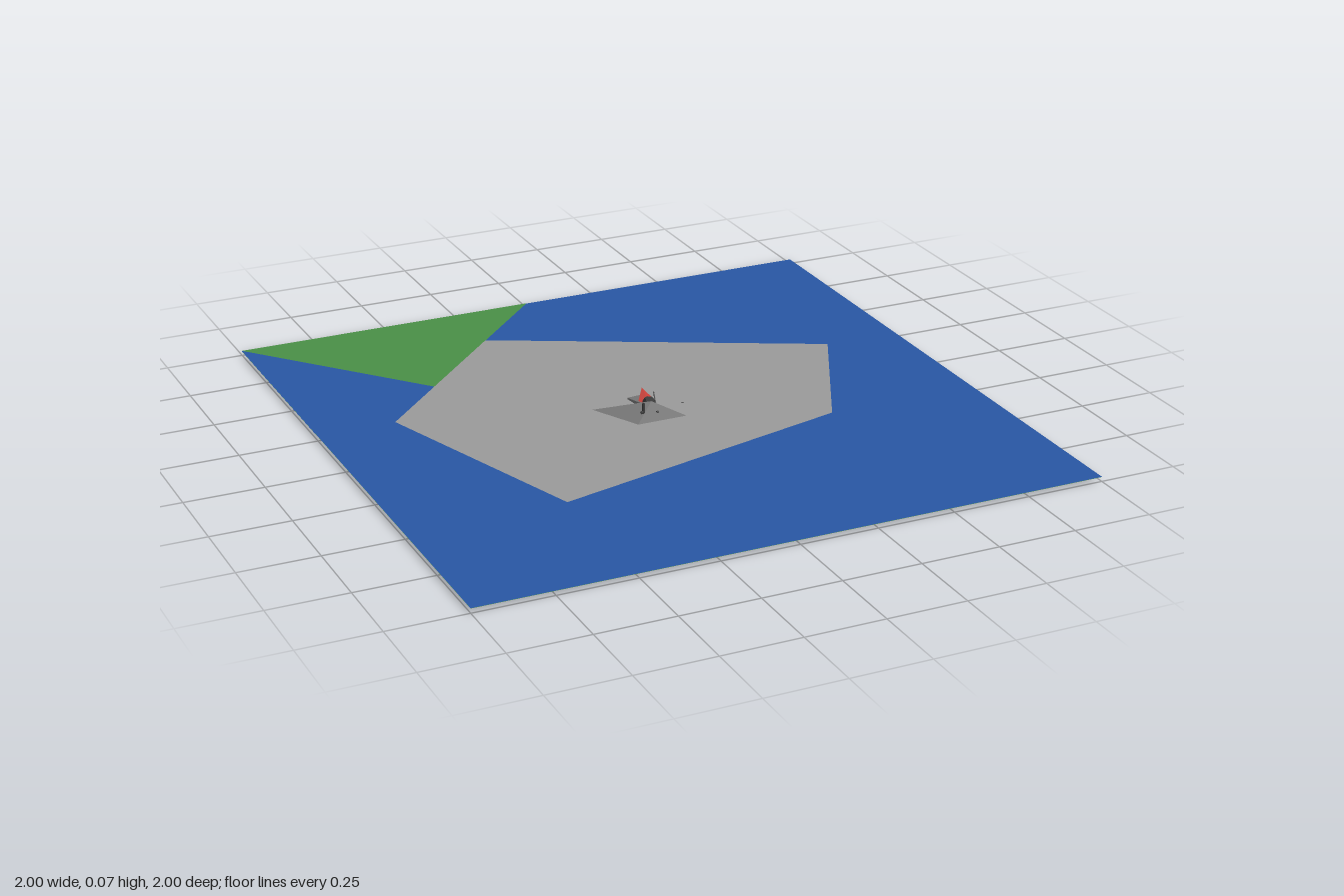
import * as THREE from 'three';

const BLUE = 0x2857a4, GREEN = 0x4a8f47, GREY = 0x9a9a9a, ROCK = 0x777777, DARK = 0x3c3c3c, RED = 0xc23a32;

const paint = (color) => new THREE.MeshStandardMaterial({ color, side: THREE.DoubleSide, flatShading: true });

function add(group, name, geometry, color) {
  const mesh = new THREE.Mesh(geometry, paint(color));
  mesh.name = name;
  group.add(mesh);
  return mesh;
}

// Horizontal sheet from [x, z] corners at height y
function sheet(group, name, corners, y, color) {
  const shape = new THREE.Shape(corners.map(([x, z]) => new THREE.Vector2(x, -z)));
  const geometry = new THREE.ShapeGeometry(shape).rotateX(-Math.PI / 2);
  return add(group, name, geometry, color).position.y = y;
}

// Triangle fan from an apex down to a closed ring of points
function peak(apex, ring) {
  const points = [];
  ring.forEach((p, i) => points.push(...apex, ...p, ...ring[(i + 1) % ring.length]));
  const geometry = new THREE.BufferGeometry();
  geometry.setAttribute('position', new THREE.Float32BufferAttribute(points, 3));
  geometry.computeVertexNormals();
  return geometry;
}

// Thin post between two points
function post(group, name, a, b, radius, color) {
  const path = new THREE.LineCurve3(new THREE.Vector3(...a), new THREE.Vector3(...b));
  return add(group, name, new THREE.TubeGeometry(path, 1, radius, 6), color);
}

export function createModel() {
  const model = new THREE.Group();
  model.name = 'island';

  // Sea, grass and island, stacked as thin sheets
  const square = [[-1, 1], [1, 1], [1, -1], [-1, -1]];
  sheet(model, 'sea', square, 0.015, BLUE);
  sheet(model, 'grass', [[-1, -1], [-0.54, -0.46], [0, -1]], 0.0158, GREEN);
  sheet(model, 'islandGround',
    [[-0.25, -0.75], [-0.75, -0.25], [-0.5, 0.5], [0.5, 0.25], [0.75, -0.25]], 0.0166, GREY);

  // Underside with its coloured patches
  sheet(model, 'seabed', square, 0.0142, GREEN);
  sheet(model, 'seabedCorner', [[-1, -1], [-1, -0.26], [-0.54, -0.46]], 0.0134, BLUE);
  sheet(model, 'islandUnderside', [[0.75, -0.25], [-0.25, -0.75], [-0.54, -0.46]], 0.0134, GREY);
  sheet(model, 'seabedStar',
    [[0.02, 0.49], [0.14, 0.16], [0.45, -0.04], [0.12, -0.12], [-0.08, -0.3],
      [-0.14, -0.12], [-0.44, -0.1], [-0.2, 0.08], [-0.28, 0.32], [-0.06, 0.16]], 0.0126, BLUE);

  // Mountain, its foot reaching below the ground
  const foot = [[-0.25, -0.125], [-0.125, 0.125], [0.125, 0.125], [0, -0.125], [-0.06, -0.06]];
  add(model, 'mountain', peak([0, 0.048, 0], foot.map(([x, z]) => [x, 0, z])), ROCK);

  // Tilted slab behind the mountain
  const slab = add(model, 'rearSlab', new THREE.BoxGeometry(0.05, 0.012, 0.09), ROCK);
  slab.position.set(0, 0.021, -0.07);
  slab.rotation.set(-0.14, 0.12, 0);

  // Small rocks on and around the slopes
  const rocks = [[0.115, 0.01, -0.015, 0.009], [-0.05, 0.034, 0.04, 0.006], [0, 0.027, 0.045, 0.007],
    [0.005, 0.018, 0.06, 0.006]];
  for (const [x, y, z, r] of rocks) {
    add(model, 'rock', new THREE.DodecahedronGeometry(r), DARK).position.set(x, y, z);
  }

  // Leaning red spire with a dark collar
  const tip = [-0.005, 0.071, -0.06];
  const spireFoot = [[-0.028, 0.04, -0.035], [0, 0.03, 0.0], [0.022, 0.04, -0.03], [0, 0.026, -0.04]];
  add(model, 'spire', peak(tip, spireFoot), RED);
  add(model, 'collar', new THREE.CylinderGeometry(0.014, 0.022, 0.016, 6), DARK).position.set(0, 0.044, -0.018);

  // Marker posts
  post(model, 'frontPost', [-0.045, 0.025, 0.04], [-0.045, 0.064, 0.04], 0.004, DARK);
  post(model, 'topPost', [0.014, 0.045, 0], [0.016, 0.07, -0.018], 0.002, DARK);

  return model;
}
